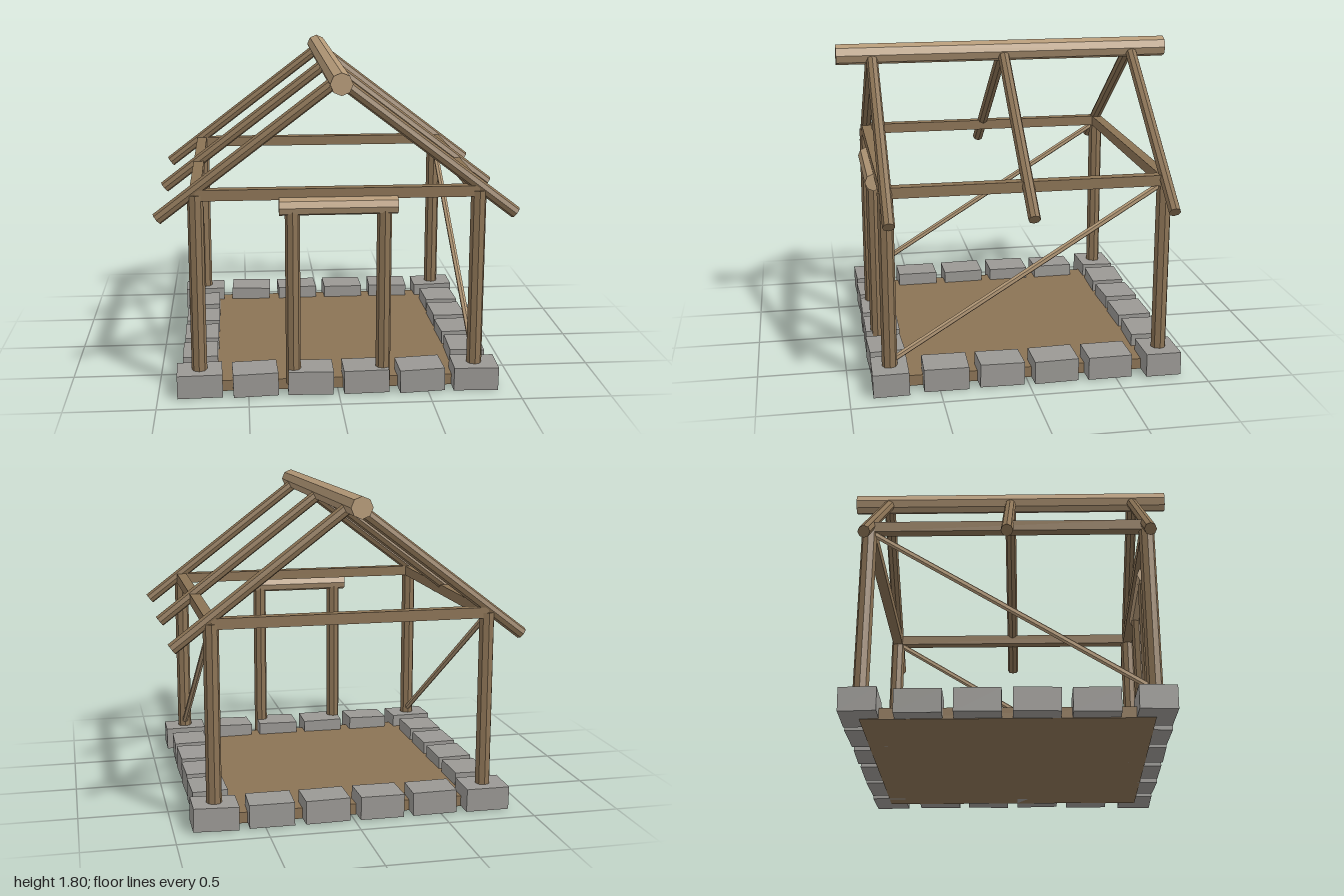
import * as THREE from 'three';

const material = (name, color) => {
  const m = new THREE.MeshStandardMaterial({ color });
  m.name = name;
  return m;
};

// Small seeded generator, returns -1..1
function seeded(seed) {
  let s = seed;
  return () => {
    s = (s * 16807) % 2147483647;
    return (s / 2147483647) * 2 - 1;
  };
}

export function createModel() {
  const model = new THREE.Group();
  model.name = 'timberFrameHut';
  const wood = material('brown wood', 0x8b7355);
  const paleWood = material('pale wood', 0xb59a78);
  const stone = material('grey stone', 0x9a9894);
  const up = new THREE.Vector3(0, 1, 0);

  const add = (name, geometry, mat) => {
    const mesh = new THREE.Mesh(geometry, mat);
    mesh.name = name;
    model.add(mesh);
    return mesh;
  };

  // Faceted log running from point a to point b
  const log = (name, a, b, radius, mat, sides = 8) => {
    const start = new THREE.Vector3(...a);
    const end = new THREE.Vector3(...b);
    const dir = end.clone().sub(start);
    const geometry = new THREE.CylinderGeometry(radius, radius, dir.length(), sides).toNonIndexed();
    geometry.computeVertexNormals();
    const mesh = add(name, geometry, mat);
    mesh.position.copy(start).add(end).multiplyScalar(0.5);
    mesh.quaternion.setFromUnitVectors(up, dir.normalize());
  };

  const box = (name, size, pos, mat) => {
    const mesh = add(name, new THREE.BoxGeometry(...size), mat);
    mesh.position.set(...pos);
    return mesh;
  };

  const half = 0.77; // half the spacing of posts and foundation

  // Earth floor
  box('floor', [half * 2, 0.062, half * 2], [0, 0.033, 0], wood);

  // Foundation stones, slightly askew
  const rand = seeded(4711);
  const placeStone = (x, z, turned) => {
    const size = turned ? [0.2, 0.132, 0.25] : [0.25, 0.132, 0.2];
    const mesh = box('foundationStone', size, [x, 0.071, z], stone);
    mesh.rotation.set(rand() * 0.03, rand() * 0.04, rand() * 0.03);
  };
  for (let i = 0; i < 6; i++) {
    const t = -half + (i * half * 2) / 5;
    for (const s of [-1, 1]) {
      placeStone(t, s * half, false);
      if (i > 0 && i < 5) placeStone(s * half, t, true);
    }
  }

  for (const s of [-1, 1]) {
    // Corner posts
    for (const z of [-half, half]) log('cornerPost', [s * half, 0.08, z], [s * half, 1.13, z], 0.043, wood);
    // Door posts
    log('doorPost', [s * 0.25, 0.05, 0.8], [s * 0.25, 1.04, 0.8], 0.041, wood);
    // Tie beams on the sides, front and back
    box('sideBeam', [0.06, 0.06, half * 2], [s * half, 1.13, 0], wood);
    box('crossBeam', [half * 2, 0.06, 0.06], [0, 1.13, s * half], wood);
    // Diagonal side braces
    log('sideBrace', [s * half, 0.158, half], [s * half, 1.115, -half], 0.018, paleWood, 6);
    // Rafters
    for (const z of [-half, 0, half]) log('rafter', [0, 1.745, z], [s * 0.978, 1.0, z], 0.034, wood);
  }

  // Door lintel and ridge pole
  log('doorLintel', [-0.322, 1.063, 0.8], [0.322, 1.063, 0.8], 0.05, paleWood);
  log('ridgePole', [0, 1.745, -0.976], [0, 1.745, 0.976], 0.06, paleWood);

  return model;
}
